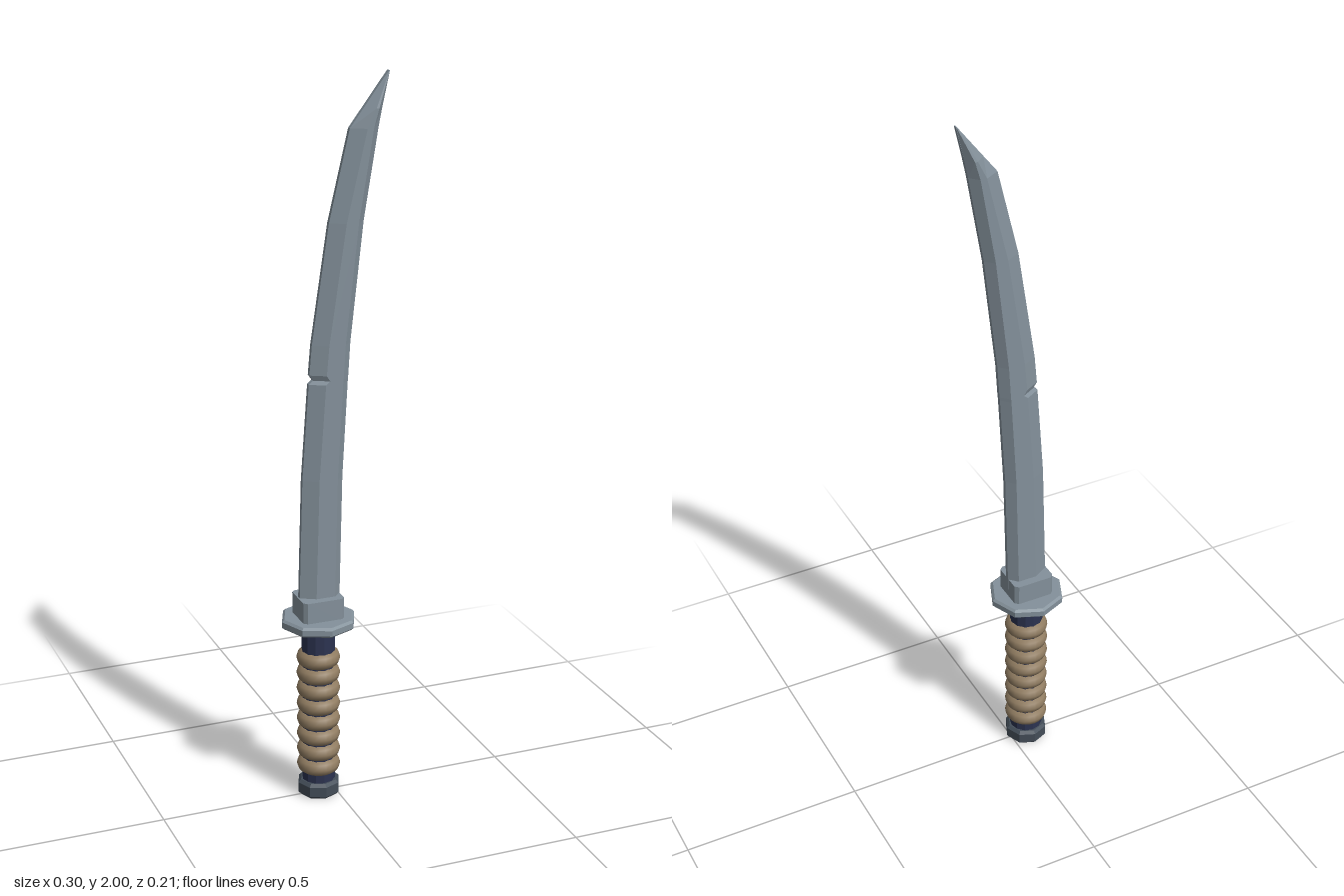
import * as THREE from 'three';

const AXIS = -0.047; // x of the handle's centre line

const material = (name, color, flatShading = true) => {
  const m = new THREE.MeshStandardMaterial({ color, flatShading });
  m.name = name;
  return m;
};

// Blade cross-section at height y: cutting edge x, spine x, half thickness
function bladeSection([y, edge, spine, t]) {
  const w = spine - edge, e = Math.min(0.006, t);
  const b = Math.min(0.04, w * 0.5), c = Math.min(0.022, w * 0.35);
  return [
    [spine, y, e], [spine, y, -e], [spine - c, y, -t], [edge + b, y, -t],
    [edge, y, -e], [edge, y, e], [edge + b, y, t], [spine - c, y, t],
  ];
}

function bladeGeometry() {
  const T = 0.029;
  const sections = [
    [0.54, -0.104, 0.012, T],
    [0.93, -0.093, 0.021, T],
    [1.195, -0.074, 0.036, T],
    [1.205, -0.062, 0.037, T], // small nick in the edge
    [1.22, -0.072, 0.038, T],
    [1.3, -0.065, 0.043, T],
    [1.62, -0.017, 0.079, T],
    [1.86, 0.04, 0.119, T],
    [1.91, 0.078, 0.129, T],
    [2.0, 0.146, 0.149, 0.006],
  ].map(bladeSection);
  const n = 8, index = [];
  for (let s = 0; s < sections.length - 1; s++) {
    for (let i = 0; i < n; i++) {
      const a = s * n + i, b = s * n + (i + 1) % n;
      index.push(a, b, b + n, a, b + n, a + n);
    }
  }
  // end caps
  const top = (sections.length - 1) * n;
  for (let i = 1; i < n - 1; i++) {
    index.push(0, i + 1, i, top, top + i, top + i + 1);
  }
  const g = new THREE.BufferGeometry();
  g.setAttribute('position', new THREE.Float32BufferAttribute(sections.flat(2), 3));
  g.setIndex(index);
  const flat = g.toNonIndexed();
  flat.computeVertexNormals();
  return flat;
}

// Closed turned part from [radius, y] pairs, bottom to top
const turned = (points, sides) =>
  new THREE.LatheGeometry(points.map(([r, y]) => new THREE.Vector2(r, y)), sides);

export function createModel() {
  const model = new THREE.Group();
  model.name = 'sword';
  const steel = material('steel', 0x84919b);
  const navy = material('navy grip', 0x2c3350);
  const darkSteel = material('dark steel', 0x434d58);
  const cord = material('tan cord', 0x917d62, false);

  const add = (name, geometry, mat, x = AXIS, y = 0, parent = model) => {
    const mesh = new THREE.Mesh(geometry, mat);
    mesh.name = name;
    mesh.position.set(x, y, 0);
    parent.add(mesh);
    return mesh;
  };

  add('blade', bladeGeometry(), steel, 0);

  // Collar block with cut corners
  const hx = 0.059, hz = 0.052, k = 0.01;
  const outline = new THREE.Shape([
    [hx - k, -hz], [hx, -hz + k], [hx, hz - k], [hx - k, hz],
    [-hx + k, hz], [-hx, hz - k], [-hx, -hz + k], [-hx + k, -hz],
  ].map(([x, z]) => new THREE.Vector2(x, z)));
  const collar = new THREE.ExtrudeGeometry(outline, { depth: 0.065, bevelEnabled: false });
  collar.rotateX(-Math.PI / 2);
  add('collar', collar, steel, AXIS, 0.53);

  // Octagonal guard with bevelled rims
  add('guard', turned([
    [0, 0.508], [0.098, 0.508], [0.105, 0.514], [0.105, 0.53], [0.098, 0.536], [0, 0.536],
  ], 8), steel);

  add('grip', new THREE.CylinderGeometry(0.046, 0.046, 0.48, 12), navy, AXIS, 0.275);

  // Cord windings
  const wrap = new THREE.Group();
  wrap.name = 'gripWrap';
  model.add(wrap);
  const count = 8, pitch = 0.046;
  const ring = new THREE.TorusGeometry(0.036, 0.024, 10, 24);
  ring.rotateX(Math.PI / 2);
  for (let i = 0; i < count; i++) {
    add('cordRing', ring, cord, AXIS, 0.09 + i * pitch, wrap);
  }

  add('pommel', turned([
    [0, 0], [0.052, 0], [0.06, 0.008], [0.06, 0.037], [0.052, 0.045], [0, 0.045],
  ], 8), darkSteel);

  return model;
}
